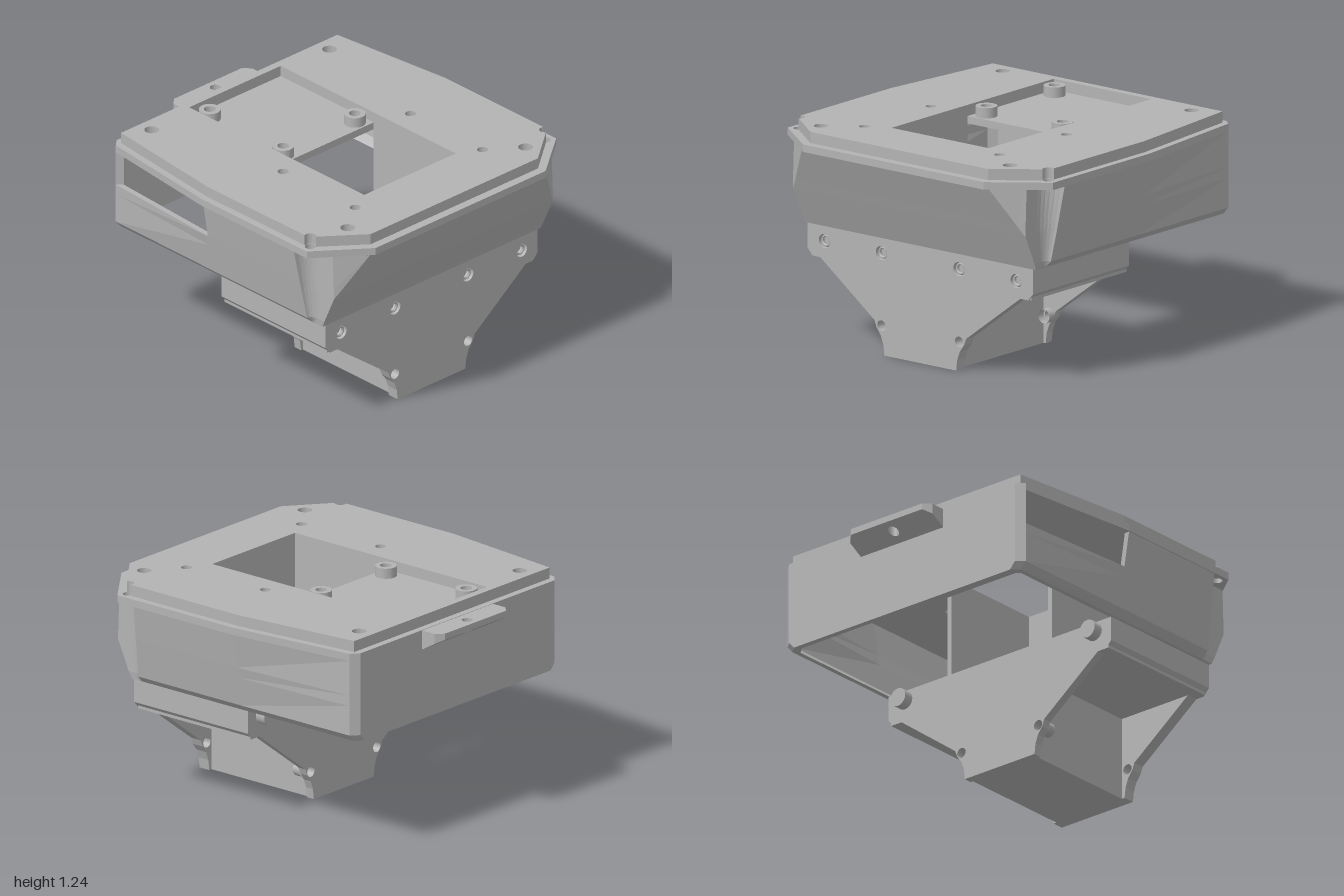
import * as THREE from 'three';

const grey = new THREE.MeshStandardMaterial({ color: 0xb3b3b3, side: THREE.DoubleSide });
grey.name = 'plain grey';

function makeShape(points, holes) {
  const shape = new THREE.Shape(points.map(p => new THREE.Vector2(p[0], p[1])));
  for (const h of holes) {
    const path = new THREE.Path();
    if (h.length === 3) path.absarc(h[0], h[1], h[2], 0, Math.PI * 2, true);
    else path.setFromPoints([[h[0], h[2]], [h[1], h[2]], [h[1], h[3]], [h[0], h[3]]].map(p => new THREE.Vector2(...p)));
    shape.holes.push(path);
  }
  return shape;
}
const extrude = (shape, depth) => new THREE.ExtrudeGeometry(shape, { depth, bevelEnabled: false, curveSegments: 16 });

// Horizontal slab from (x, z) points; holes are [x, z, radius] or [x0, x1, z0, z1]
function slabY(points, y0, y1, holes = []) {
  return extrude(makeShape(points, holes), y1 - y0).rotateX(Math.PI / 2).translate(0, y1, 0);
}
// Upright slab across x from (z, y) points
function slabX(points, x0, x1, holes = []) {
  return extrude(makeShape(points, holes), x1 - x0).rotateY(-Math.PI / 2).translate(x1, 0, 0);
}
const block = (x0, x1, y0, y1, z0, z1) => new THREE.BoxGeometry(x1 - x0, y1 - y0, z1 - z0)
  .translate((x0 + x1) / 2, (y0 + y1) / 2, (z0 + z1) / 2);
const mirrorZ = half => [...half, ...half.slice().reverse().map(([x, z]) => [x, -z])];
const mirrorFirst = half => [...half, ...half.slice().reverse().map(([z, y]) => [-z, y])];

// Tapered shell, each ring: height, side z, channel start x, channel end x, corner x, corner z
function shellRing([y, w, c0, c1, ex, ez]) {
  const bz = Math.min(0.855, w);
  const half = [[-0.87, bz - 0.045], [-0.83, bz], [-0.055, w]];
  const a = (c1 - c0) * 0.5;
  for (let i = 0; i <= 6; i++) {
    const t = i / 6 * Math.PI / 2;
    half.push([c0 + a * (1 - Math.cos(t)), w - Math.max(0, w - 0.825) * Math.sin(t)]);
  }
  half.push([c1, Math.min(w, 0.825)], [ex, ez]);
  return mirrorZ(half).map(([x, z]) => [x, y, z]);
}

function shellGeometry() {
  const rings = [
    [0.66, 0.82, 0.69, 0.77, 0.77, 0.815],
    [0.70, 0.86, 0.69, 0.788, 0.788, 0.82],
    [0.87, 0.889, 0.675, 0.865, 0.866, 0.82],
    [0.93, 0.9, 0.672, 0.863, 0.892, 0.785],
    [1.13, 0.933, 0.66, 0.855, 0.982, 0.665],
  ].map(shellRing);
  const inner = rings.map(r => r.map(([x, y, z]) => [x * 0.96, y, z * 0.965]));
  const pos = [];
  const quad = (a, b, c, d) => pos.push(...a, ...b, ...c, ...a, ...c, ...d);
  const n = rings[0].length;
  for (let i = 0; i < n; i++) {
    const j = (i + 1) % n;
    for (let k = 0; k < rings.length - 1; k++) {
      const [o0, o1, p0, p1] = [rings[k], rings[k + 1], inner[k], inner[k + 1]];
      if (k === 3 && i === 1) { // side window with its reveals
        quad(o0[i], o0[j], p0[j], p0[i]);
        quad(o0[i], p0[i], p1[i], o1[i]);
        quad(o0[j], o1[j], p1[j], p0[j]);
        continue;
      }
      quad(o0[i], o0[j], o1[j], o1[i]);
      quad(p0[j], p0[i], p1[i], p1[j]);
    }
    quad(rings[0][j], rings[0][i], inner[0][i], inner[0][j]); // bottom rim
  }
  const g = new THREE.BufferGeometry();
  g.setAttribute('position', new THREE.Float32BufferAttribute(pos, 3));
  g.computeVertexNormals();
  return g;
}

export function createModel() {
  const model = new THREE.Group();
  const add = (name, geometry) => {
    const mesh = new THREE.Mesh(geometry, grey);
    mesh.name = name;
    model.add(mesh);
    return mesh;
  };
  add('shell', shellGeometry());

  // Cover plate and raised lip
  const screws = [];
  for (const s of [-1, 1]) {
    screws.push([-0.74, s * 0.67, 0.04], [0.81, s * 0.67, 0.04], [0.10, s * 0.48, 0.03], [0.67, s * 0.48, 0.03]);
  }
  const cover = mirrorZ([[-0.87, 0.81], [-0.83, 0.855], [-0.06, 0.94], [0.77, 0.94], [1, 0.64]]);
  add('coverPlate', slabY(cover, 1.13, 1.172,
    [...screws, [0.74, 0.885, 0.03], [0.74, -0.885, 0.03], [-0.05, 0.6, -0.345, 0.345]]));
  const lip = [[-0.83, 0.815], [-0.06, 0.9]];
  for (let i = 0; i <= 8; i++) {
    const t = (155 + i * 21) * Math.PI / 180;
    lip.push([0.74 + 0.033 * Math.cos(t), 0.885 + 0.033 * Math.sin(t)]);
  }
  lip.push([0.95, 0.63]);
  add('raisedLip', slabY(mirrorZ(lip), 1.172, 1.235, [...screws, [-0.785, 0.6, -0.345, 0.345]]));

  // Standoffs on the recessed platform
  for (const [x, z] of [[-0.12, -0.27], [-0.12, 0.27], [-0.70, 0.27]]) {
    const ring = new THREE.Shape().absarc(0, 0, 0.06, 0, Math.PI * 2);
    ring.holes.push(new THREE.Path().absarc(0, 0, 0.032, 0, Math.PI * 2, true));
    add('standoff', extrude(ring, 0.06).rotateX(-Math.PI / 2).translate(x, 1.17, z));
  }

  // End tab with a sloping underside
  const tab = slabY(mirrorZ([[-0.86, 0.295], [-0.96, 0.295], [-1, 0.255]]), 1.1, 1.17, [[-0.94, 0, 0.03]]);
  const p = tab.attributes.position;
  for (let i = 0; i < p.count; i++) {
    if (p.getY(i) < 1.13) p.setY(i, 1.135 - 0.075 * (p.getX(i) + 1) / 0.13);
  }
  tab.computeVertexNormals();
  add('endTab', tab);

  // Shaft below the opening
  add('shaftEndWall', block(0.6, 0.63, 0.5, 1.13, -0.375, 0.375));
  for (const s of [-1, 1]) {
    add('shaftSideWall', block(-0.05, 0.6, 0.5, 1.13, s * 0.36 - 0.015, s * 0.36 + 0.015));
  }
  add('floor', slabY(mirrorZ([[-0.05, 0.78], [0.76, 0.78]]), 0.48, 0.52,
    [[0.2, 0.26, -0.22, 0], [0.46, 0.16, 0.03], [0.46, -0.16, 0.03], [-0.04, 0.05, -0.125, 0.125]]));

  // Side bands with bevelled lower edges
  for (const s of [-1, 1]) {
    const band = new THREE.Shape([[0.8, 0.66], [0.8, 0.52], [0.765, 0.48], [0.72, 0.48], [0.72, 0.66]]
      .map(([z, y]) => new THREE.Vector2(s * z, y)));
    add('sideBand', extrude(band, 0.82).rotateY(-Math.PI / 2).translate(0.77, 0, 0));
  }

  // Tapered end plates with curved feet
  const plate = d => mirrorFirst([[0.8, 0.66], [0.8, 0.52], [0.765, 0.48], [0.71 + d, 0.48], [0.325 + d, 0.19],
    [0.31 + d, 0.15], [0.28 + d, 0.11], [0.262 + d, 0.06], [0.255 + d, 0]]);
  const bolts = [];
  for (const z of [-0.68, -0.275, 0.275, 0.68]) bolts.push([z, 0.575, 0.04]);
  const feet = [[-0.275, 0.165, 0.03], [0.275, 0.165, 0.03]];
  add('outerEndPlate', slabX(plate(0), 0.7, 0.77, [...bolts, ...feet]));
  add('innerEndPlate', slabX(plate(-0.005), -0.05, 0, feet));
  for (const [z, y] of bolts) {
    const ring = new THREE.TorusGeometry(0.028, 0.008, 6, 16).rotateY(Math.PI / 2);
    add('boltSeat', ring.translate(0.752, y, z));
    add('boltBack', new THREE.CylinderGeometry(0.04, 0.04, 0.02, 16).rotateZ(Math.PI / 2).translate(0.71, y, z));
  }
  for (const s of [-1, 1]) {
    add('innerBoss', new THREE.CylinderGeometry(0.053, 0.053, 0.06, 20).rotateZ(Math.PI / 2)
      .translate(-0.08, 0.603, s * 0.68));
    add('footCollar', new THREE.CylinderGeometry(0.04, 0.04, 0.05, 16, 1, true).rotateZ(Math.PI / 2)
      .translate(0.022, 0.165, s * 0.275));
  }

  // Lower box between the end plates
  add('lowerBox', block(0, 0.7, 0, 0.48, -0.235, 0.235));
  return model;
}
